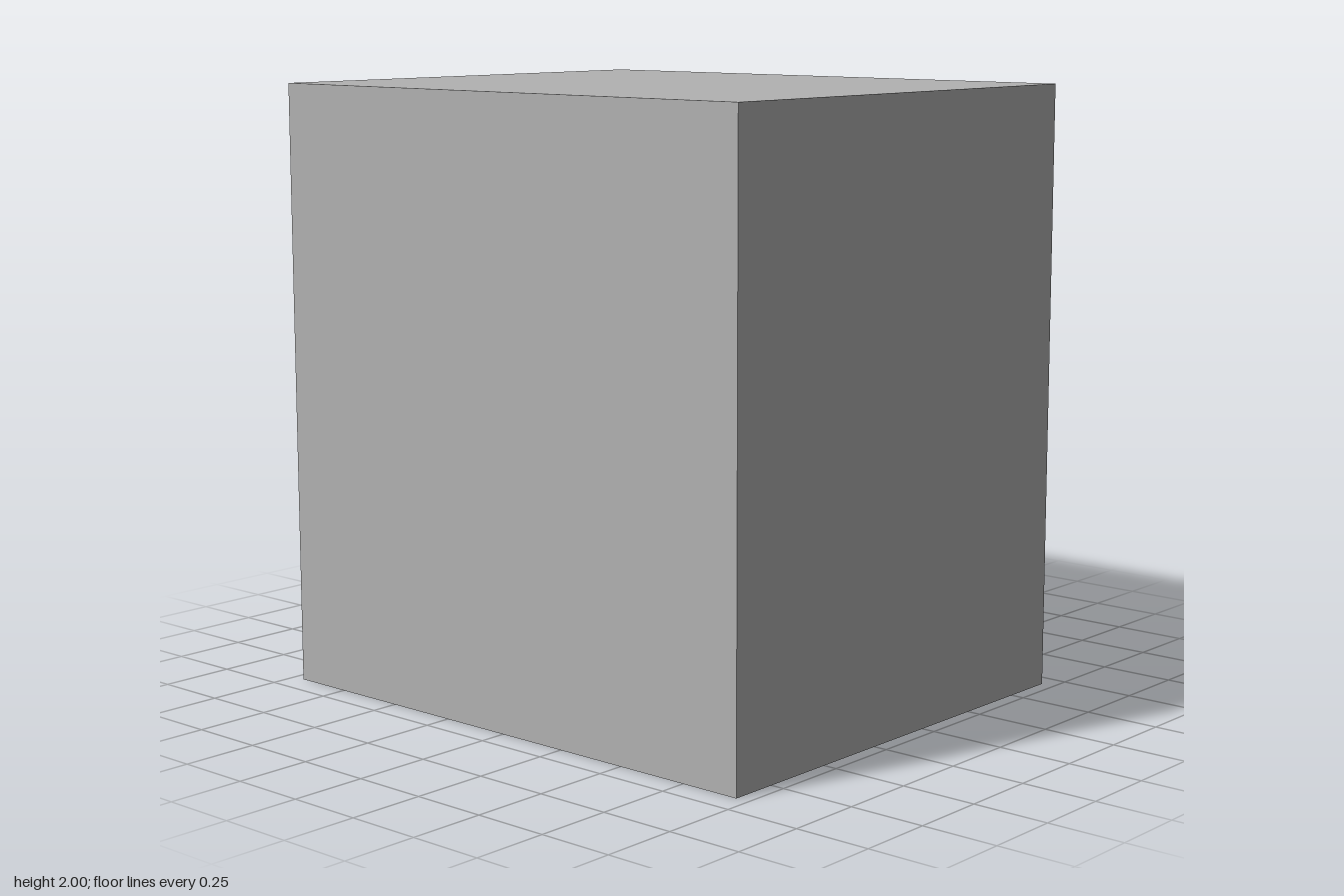
import * as THREE from 'three';

const mat = (name, color) => {
  const m = new THREE.MeshStandardMaterial({ color });
  m.name = name;
  return m;
};

export function createModel() {
  const oven = new THREE.Group();
  oven.name = 'oven';
  const steel = mat('steel', 0xb2b2b2);
  const black = mat('black glass', 0x222222);
  const violet = mat('violet trim', 0xcc5acc);
  const openSteel = mat('open tube steel', 0xb2b2b2);
  openSteel.side = THREE.DoubleSide;

  const FACE = 0.68; // x of the door face
  const add = (name, geometry, material, x, y, z) => {
    const mesh = new THREE.Mesh(geometry, material);
    mesh.name = name;
    mesh.position.set(x, y, z);
    oven.add(mesh);
    return mesh;
  };

  // Cabinet
  add('cabinet', new THREE.BoxGeometry(1.59, 2, 1.91), steel, FACE - 0.795, 1, 0);

  // Rectangles [u0, y0, u1, y1] on the door face, with u = -z
  const trace = (path, [u0, y0, u1, y1]) =>
    path.moveTo(u0, y0).lineTo(u1, y0).lineTo(u1, y1).lineTo(u0, y1).closePath();
  const plate = (name, outer, hole, material, depth) => {
    const shape = trace(new THREE.Shape(), outer);
    if (hole) shape.holes.push(trace(new THREE.Path(), hole));
    const geometry = new THREE.ExtrudeGeometry(shape, { depth, bevelEnabled: false });
    geometry.rotateY(Math.PI / 2);
    add(name, geometry, material, FACE, 0, 0);
  };

  // Door frame and window pane
  const pane = [-0.705, 0.335, 0.67, 1.405];
  plate('doorFrame', [-0.84, 0.12, 0.8, 1.705], pane, black, 0.003);
  plate('doorWindow', pane, null, steel, 0.002);

  // Display with its trim
  const screen = [-0.225, 1.77, 0.195, 1.915];
  plate('displayTrim', [-0.245, 1.745, 0.207, 1.945], screen, violet, 0.003);
  plate('displayScreen', screen, null, black, 0.003);

  // Control knobs with a slightly bevelled rim
  const knobProfile = [[0.065, 0], [0.065, 0.042], [0.065, 0.042], [0.057, 0.048], [0.057, 0.048], [0, 0.048]]
    .map(([r, h]) => new THREE.Vector2(r, h));
  for (const z of [0.625, -0.533]) {
    const knob = add('knob', new THREE.LatheGeometry(knobProfile, 32), steel, FACE, 1.855, z);
    knob.rotation.z = -Math.PI / 2;
  }

  // Handle posts
  for (const [z, length] of [[0.535, 0.17], [-0.565, 0.155]]) {
    const post = add('handlePost', new THREE.CylinderGeometry(0.045, 0.045, length, 20), steel,
      FACE + length / 2, 1.535, z);
    post.rotation.z = -Math.PI / 2;
  }

  // Hollow handle bar with tapered open ends
  const barProfile = [[0.02, -0.8], [0.045, -0.735], [0.045, -0.735], [0.045, 0.74], [0.045, 0.74], [0.02, 0.8]]
    .map(([r, h]) => new THREE.Vector2(r, h));
  const bar = add('handleBar', new THREE.LatheGeometry(barProfile, 20), openSteel, 0.86, 1.535, 0);
  bar.rotation.x = Math.PI / 2;

  return oven;
}
